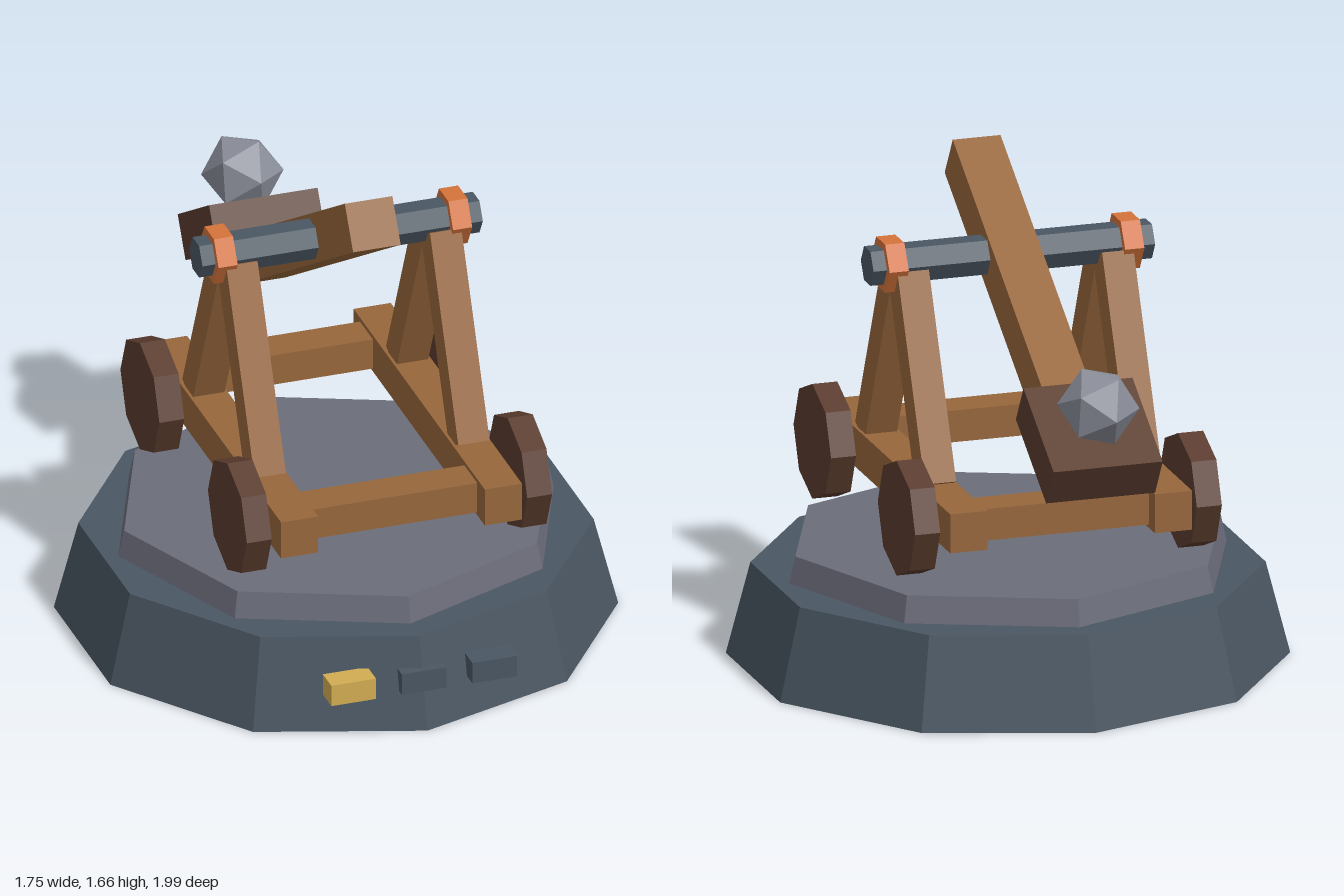
import * as THREE from 'three';

const mat = (name, color) => {
  const m = new THREE.MeshStandardMaterial({ color, flatShading: true });
  m.name = name;
  return m;
};

export function createModel() {
  const wood = mat('wood', 0x98673c);
  const darkWood = mat('dark wood', 0x5b3c2e);
  const slate = mat('slate', 0x4a5662);
  const paving = mat('paving', 0x6b6d7a);
  const stone = mat('stone', 0x8a8e99);
  const copper = mat('copper', 0xd5733b);
  const gold = mat('gold', 0xd2ad52);

  const model = new THREE.Group();
  model.name = 'catapult';
  const CZ = 0.077; // z of the pedestal centre and of the axle

  const add = (name, geometry, material, x, y, z, rx = 0) => {
    const mesh = new THREE.Mesh(geometry, material);
    mesh.name = name;
    mesh.position.set(x, y, z);
    mesh.rotation.x = rx;
    model.add(mesh);
    return mesh;
  };
  const box = (name, m, w, h, d, x, y, z, rx) =>
    add(name, new THREE.BoxGeometry(w, h, d), m, x, y, z, rx);
  // Prism lying along the x axis
  const rod = (name, m, r, length, sides, x, y, z) =>
    add(name, new THREE.CylinderGeometry(r, r, length, sides).rotateZ(Math.PI / 2), m, x, y, z);

  // Faceted pedestal with a smaller paved slab on top
  add('pedestal', new THREE.CylinderGeometry(0.84, 0.92, 0.31, 10), slate, 0, 0.155, CZ);
  add('slab', new THREE.CylinderGeometry(0.73, 0.75, 0.09, 8), paving, 0, 0.355, CZ);

  // Three small blocks on the pedestal front
  [-0.243, 0, 0.243].forEach((x, i) =>
    box('plaque', i === 0 ? gold : slate, 0.154, 0.075, 0.085, x, 0.167, 0.922));

  // Frame sides: rail, A-frame legs, wheels and axle collar
  for (const s of [-1, 1]) {
    box('sideRail', wood, 0.128, 0.133, 1.32, s * 0.351, 0.643, 0.076);
    for (const f of [-1, 1]) {
      box('leg', wood, 0.108, 0.7, 0.105, s * 0.351, 1.02, CZ + f * 0.173, -f * 0.419);
      rod('wheel', darkWood, 0.196, 0.086, 8, s * 0.483, 0.641, 0.08 + f * 0.44);
    }
    rod('collar', copper, 0.095, 0.066, 6, s * 0.404, 1.368, CZ);
  }
  for (const z of [0.595, -0.455])
    box('crossBeam', wood, 0.62, 0.108, 0.13, 0, 0.641, z);
  rod('axle', slate, 0.067, 0.966, 6, 0, 1.368, CZ);

  // Throwing arm with its bucket block and boulder
  const tilt = -0.548;
  box('throwingArm', wood, 0.164, 0.161, 1.354, 0, 1.241, -0.131, tilt);
  box('bucket', darkWood, 0.374, 0.152, 0.37, 0, 0.978, -0.7725, tilt);
  const boulder = add('boulder', new THREE.IcosahedronGeometry(0.135, 0), stone, 0, 1.123, -0.866);
  boulder.rotation.set(0.4, 0.3, 0.2);

  return model;
}
